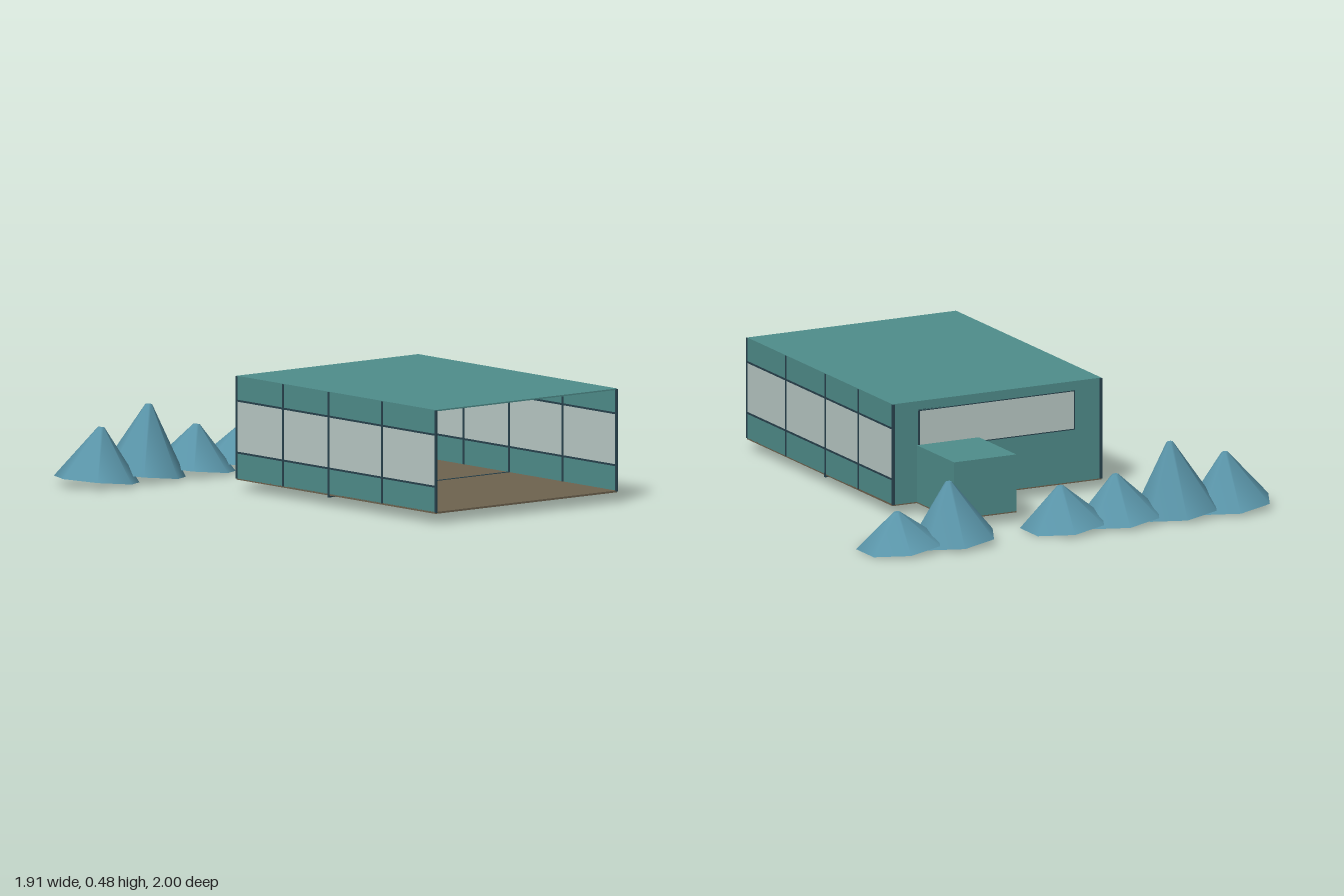
import * as THREE from 'three';

const mat = (name, color) => {
  const m = new THREE.MeshStandardMaterial({ color });
  m.name = name;
  return m;
};

export function createModel() {
  const teal = mat('teal wall', 0x4f8d8b);
  const glass = mat('pale glass', 0xb9c9c5);
  const dark = mat('dark frame', 0x28424d);
  const brown = mat('brown floor', 0x6e634f);
  const leaf = mat('blue foliage', 0x5a95a9);
  const copper = mat('copper trim', 0xa87a4c);
  const tan = mat('tan detail', 0xd8c08c);

  const root = new THREE.Group();
  root.name = 'pavilion';
  const group = (name) => {
    const g = new THREE.Group();
    g.name = name;
    root.add(g);
    return g;
  };
  // Box given by its limits on each axis
  const box = (parent, name, m, [x0, x1], [y0, y1], [z0, z1]) => {
    const mesh = new THREE.Mesh(new THREE.BoxGeometry(x1 - x0, y1 - y0, z1 - z0), m);
    mesh.position.set((x0 + x1) / 2, (y0 + y1) / 2, (z0 + z1) / 2);
    mesh.name = name;
    parent.add(mesh);
    return mesh;
  };

  const L = -0.435, R = 0.555, B = -0.31, F = 0.995, Y0 = 0.055, Y1 = 0.49;

  // Shell, open at the front
  const shell = group('shell');
  box(shell, 'floor', brown, [L, R], [Y0 - 0.005, Y0 + 0.003], [B, F]);
  box(shell, 'roof', teal, [L, R], [Y1 - 0.006, Y1], [B, F]);

  // Side walls: teal bands, a glass band, rails and posts
  const posts = [F, 0.645, 0.294, -0.005, B];
  for (const [name, x] of [['right', L + 0.003], ['left', R - 0.003]]) {
    const wall = group(name + 'Wall');
    const t = [x - 0.003, x + 0.003], rail = [x - 0.005, x + 0.005];
    box(wall, 'lowerBand', teal, t, [Y0, 0.165], [B, F]);
    box(wall, 'glassBand', glass, t, [0.165, 0.385], [B, F]);
    box(wall, 'upperBand', teal, t, [0.385, Y1 - 0.006], [B, F]);
    for (const y of [0.165, 0.385]) box(wall, 'rail', dark, rail, [y - 0.004, y + 0.004], [B, F]);
    for (const z of posts) box(wall, 'post', dark, rail, [Y0, Y1 - 0.002], [z - 0.005, z + 0.005]);
  }

  // Thin cross frame under the floor and roof
  const frame = group('crossFrame');
  box(frame, 'sill', dark, [L - 0.003, R + 0.003], [0.042, Y0 + 0.005], [0.289, 0.299]);
  box(frame, 'beam', dark, [L, R], [Y1 - 0.012, Y1 - 0.004], [0.289, 0.299]);

  // Back wall with a wide window
  const back = group('backWall');
  const shape = new THREE.Shape([[L, Y0], [R, Y0], [R, Y1 - 0.006], [L, Y1 - 0.006]].map((p) => new THREE.Vector2(...p)));
  const win = [[-0.31, 0.28], [-0.31, 0.45], [0.43, 0.45], [0.43, 0.28]].map((p) => new THREE.Vector2(...p));
  shape.holes.push(new THREE.Path(win));
  const wallMesh = new THREE.Mesh(new THREE.ExtrudeGeometry(shape, { depth: 0.006, bevelEnabled: false }), teal);
  wallMesh.name = 'wallPanel';
  wallMesh.position.z = B;
  back.add(wallMesh);
  box(back, 'window', glass, [-0.31, 0.43], [0.28, 0.45], [B + 0.001, B + 0.005]);
  for (const y of [0.28, 0.45]) box(back, 'windowRail', dark, [-0.314, 0.434], [y - 0.004, y + 0.004], [B, B + 0.009]);
  for (const x of [-0.31, 0.43]) box(back, 'windowPost', dark, [x - 0.004, x + 0.004], [0.28, 0.45], [B, B + 0.009]);

  // Rear annex and the doorway leading to it
  const annex = group('annex');
  box(annex, 'annexBody', teal, [0.145, 0.44], [Y0, 0.30], [-0.645, B]);
  box(annex, 'annexFloor', brown, [0.145, 0.44], [Y0 - 0.005, Y0], [-0.645, B]);
  const door = group('door');
  box(door, 'doorPanel', teal, [0.23, 0.35], [Y0, 0.24], [B + 0.006, B + 0.012]);
  for (const x of [0.226, 0.354]) box(door, 'doorJamb', dark, [x - 0.004, x + 0.004], [Y0, 0.25], [B + 0.006, B + 0.015]);
  box(door, 'doorHead', copper, [0.222, 0.358], [0.238, 0.246], [B + 0.006, B + 0.015]);
  box(door, 'doorRail', copper, [0.23, 0.35], [0.11, 0.114], [B + 0.006, B + 0.014]);

  // Cabinets along the back
  for (const [x0, x1] of [[-0.345, -0.21], [-0.135, -0.005], [0.052, 0.184], [0.382, 0.516]]) {
    const c = group('cabinet');
    box(c, 'carcass', dark, [x0, x1], [Y0, 0.305], [-0.29, -0.215]);
    box(c, 'cabinetFront', teal, [x0 + 0.006, x1 - 0.006], [0.062, 0.299], [-0.216, -0.209]);
    for (const y of [0.262, 0.108]) box(c, 'trim', tan, [x0, x1], [y - 0.003, y + 0.003], [-0.21, -0.205]);
  }
  const shelves = group('shelves');
  for (const y of [0.222, 0.19, 0.162]) box(shelves, 'shelf', copper, [-0.28, -0.005], [y - 0.003, y + 0.003], [-0.205, -0.195]);
  box(shelves, 'shelfPost', dark, [-0.068, -0.062], [Y0, 0.28], [-0.205, -0.198]);
  box(shelves, 'longShelf', copper, [0.052, 0.184], [0.187, 0.193], [-0.209, -0.2]);

  // Dark panel carrying a stemmed flower
  const panel = group('flowerPanel');
  box(panel, 'panel', dark, [-0.342, -0.262], [0.13, 0.408], [-0.19, -0.175]);
  const stem = box(panel, 'stem', copper, [-0.3, -0.296], [0.25, 0.345], [-0.174, -0.169]);
  stem.rotation.z = -0.15;
  for (let i = 0; i < 4; i++) box(panel, 'slat', copper, [-0.325, -0.285], [0.16 + i * 0.03, 0.163 + i * 0.03], [-0.175, -0.17]);
  for (let i = 0; i < 4; i++) {
    const petal = box(panel, 'petal', tan, [-0.311, -0.267], [0.344, 0.354], [-0.17, -0.166]);
    petal.rotation.z = i * Math.PI / 4;
  }

  // Low table with small feet passing the floor
  const table = group('table');
  box(table, 'tableTop', dark, [-0.045, 0.165], [0.1, 0.11], [0.06, 0.18]);
  box(table, 'tableBody', dark, [-0.025, 0.14], [0.06, 0.1], [0.08, 0.16]);
  for (const x of [-0.04, 0.155]) box(table, 'leg', copper, [x - 0.004, x + 0.004], [Y0, 0.1], [0.08, 0.16]);
  for (let i = 0; i < 3; i++) box(table, 'foot', copper, [-0.018 + i * 0.014, -0.011 + i * 0.014], [0.048, 0.06], [0.105, 0.13]);

  // Small dark box and a thin lamp on the left
  const corner = group('cornerPieces');
  box(corner, 'smallBox', dark, [0.428, 0.484], [0.083, 0.143], [-0.2, -0.15]);
  box(corner, 'lamp', copper, [0.447, 0.451], [0.3, 0.36], [-0.25, -0.246]);

  // Row of leaning seven-sided trees: [apex x, apex height]
  const lean = 0.105;
  for (const [x, top] of [[-0.75, 0.25], [-0.49, 0.325], [-0.23, 0.215], [0.03, 0.195], [0.56, 0.275], [0.805, 0.172]]) {
    const h = top - 0.028;
    const geo = new THREE.CylinderGeometry(0.014, 0.185, h, 7, 1, false, -Math.PI / 2);
    geo.translate(0, h / 2, 0);
    const tree = new THREE.Mesh(geo, leaf);
    tree.name = 'tree';
    tree.rotation.z = -lean;
    tree.position.set(x - h * lean, 0.024, -0.82);
    root.add(tree);
  }
  return root;
}
